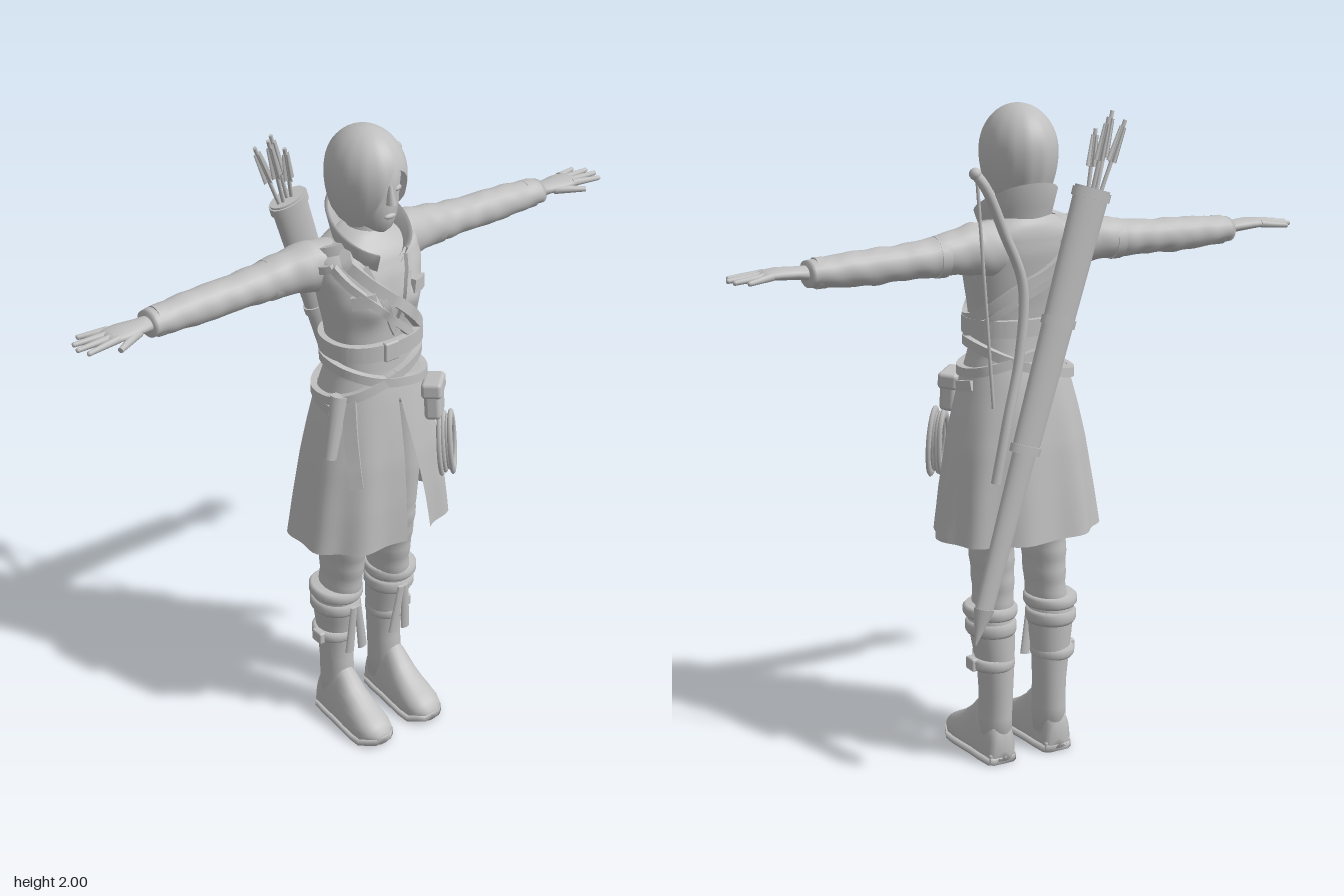
import * as THREE from 'three';
import { toCreasedNormals } from 'three/addons/utils/BufferGeometryUtils.js';
import { RoundedBoxGeometry } from 'three/addons/geometries/RoundedBoxGeometry.js';

const V = (x, y, z) => new THREE.Vector3(x, y, z);
const clay = new THREE.MeshStandardMaterial({ color: 0xbfbfbf, side: THREE.DoubleSide });
clay.name = 'light grey';

function add(parent, name, geo) {
  const m = new THREE.Mesh(geo, clay);
  m.name = name;
  parent.add(m);
  return m;
}

// Linear look-up in a table sorted by its first column
function sample(table, t) {
  let i = 0;
  while (i < table.length - 2 && t > table[i + 1][0]) i++;
  const a = table[i], b = table[i + 1];
  const k = THREE.MathUtils.clamp((t - a[0]) / (b[0] - a[0]), 0, 1);
  return a.map((v, j) => v + (b[j] - v) * k);
}

// Smooth skin over a list of rings
function loft(rings, closed = true, caps = true) {
  const n = rings[0].length, pos = [], idx = [];
  rings.forEach(r => r.forEach(p => pos.push(p.x, p.y, p.z)));
  for (let i = 0; i < rings.length - 1; i++) {
    for (let j = 0; j < (closed ? n : n - 1); j++) {
      const a = i * n + j, b = i * n + (j + 1) % n, c = b + n, d = a + n;
      idx.push(a, b, c, a, c, d);
    }
  }
  if (closed && caps) [0, rings.length - 1].forEach((r, end) => {
    const c = rings[r].reduce((s, p) => s.add(p), V(0, 0, 0)).divideScalar(n), at = pos.length / 3;
    pos.push(c.x, c.y, c.z);
    for (let j = 0; j < n; j++) {
      const a = r * n + j, b = r * n + (j + 1) % n;
      idx.push(at, ...(end ? [a, b] : [b, a]));
    }
  });
  const g = new THREE.BufferGeometry();
  g.setAttribute('position', new THREE.Float32BufferAttribute(pos, 3));
  g.setIndex(idx);
  g.computeVertexNormals();
  return g;
}

const around = (n, f) => Array.from({ length: n }, (_, j) => f(j / n * Math.PI * 2));

// Rows of a table resampled along a smooth curve, ascending in the first column
function smoothRows(table, steps) {
  const out = [], t0 = table[0][0], t1 = table[table.length - 1][0];
  for (let i = 0; i <= steps; i++) out.push(sample(table, t0 + (t1 - t0) * i / steps));
  return out;
}

// Upright limb: rows are [y, centreX, centreZ, radiusX, radiusZ]
const upright = (rows, n = 24) => loft(rows.map(([y, cx, cz, rx, rz]) =>
  around(n, a => V(cx + rx * Math.sin(a), y, cz + rz * Math.cos(a)))));

// Tapered rod between two points, optionally flattened
function rod(parent, name, a, b, r0, r1, flat = 1, sides = 12) {
  const d = b.clone().sub(a);
  const g = new THREE.CylinderGeometry(r1, r0, d.length(), sides).scale(1, 1, flat);
  const m = add(parent, name, g);
  m.position.copy(a).add(b).multiplyScalar(0.5);
  m.quaternion.setFromUnitVectors(V(0, 1, 0), d.normalize());
  return m;
}

// Coat silhouette: [y, half width, front z, back z]
const body = [
  [0.72, 0.255, 0.19, -0.167], [0.85, 0.237, 0.186, -0.157], [1.0, 0.212, 0.176, -0.143],
  [1.1, 0.19, 0.162, -0.127], [1.2, 0.164, 0.146, -0.108], [1.28, 0.14, 0.13, -0.087],
  [1.35, 0.137, 0.125, -0.08], [1.42, 0.145, 0.125, -0.088], [1.5, 0.16, 0.128, -0.102],
  [1.58, 0.172, 0.115, -0.113], [1.635, 0.165, 0.09, -0.11], [1.67, 0.11, 0.06, -0.1], [1.7, 0.05, 0.03, -0.07],
];
const spow = (v, e) => Math.sign(v) * Math.abs(v) ** e;
function bodyPoint(a, y, off = 0) {
  const [, rx, zf, zb] = sample(body, y);
  const x = (rx + off) * spow(Math.sin(a), 0.88), c = Math.cos(a);
  let z = (zf + zb) / 2 + ((zf - zb) / 2 + off) * spow(c, 0.88);
  if (c > 0) z += 0.022 * Math.exp(-(((Math.abs(x) - 0.07) / 0.045) ** 2) - ((y - 1.5) / 0.05) ** 2);
  const fold = y < 1.2 ? 0.02 * (1.2 - y) * Math.sin(a * 9) : 0;
  return V(x * (1 + fold * 3), y, z + fold * c);
}

// Flat strap lying on the coat through [angle, y] points
function strap(parent, name, path, width, thick = 0.012, steps = 60) {
  const curve = new THREE.CatmullRomCurve3(path.map(([a, y]) => V(a, y, 0)));
  const at = (t, off) => { const p = curve.getPoint(t); return bodyPoint(p.x, p.y, off); };
  const rings = [];
  for (let i = 0; i <= steps; i++) {
    const t = i / steps, p = at(t, 0.004);
    const n = at(t, 0.02).sub(p).normalize();
    const tan = at(Math.min(1, t + 0.01), 0).sub(at(Math.max(0, t - 0.01), 0)).normalize();
    const s = tan.cross(n).normalize().multiplyScalar(width / 2);
    n.multiplyScalar(thick);
    rings.push([p.clone().add(n).sub(s), p.clone().add(n).add(s), p.clone().sub(n).add(s), p.clone().sub(n).sub(s)]);
  }
  return add(parent, name, toCreasedNormals(loft(rings), 0.7));
}

function makeHead(g) {
  const face = [[1.71, 0.018, 0.09, 0.03], [1.725, 0.04, 0.106, 0.0], [1.76, 0.063, 0.117, -0.05], [1.8, 0.077, 0.117, -0.09],
    [1.83, 0.083, 0.115, -0.1], [1.87, 0.086, 0.119, -0.1], [1.92, 0.078, 0.1, -0.1], [1.97, 0.04, 0.05, -0.05]];
  add(g, 'face', upright(face.map(([y, rx, f, b]) => [y, -0.005, (f + b) / 2, rx, (f - b) / 2])));
  add(g, 'neck', upright([[1.58, 0, -0.02, 0.065, 0.06], [1.67, 0, -0.015, 0.05, 0.052], [1.78, 0, -0.005, 0.047, 0.05]]));
  rod(g, 'nose', V(-0.005, 1.805, 0.12), V(-0.005, 1.86, 0.114), 0.014, 0.006, 1.3);
  const lips = add(g, 'lips', new THREE.SphereGeometry(1, 12, 8).scale(0.02, 0.008, 0.009));
  lips.position.set(-0.005, 1.768, 0.116);
  for (const s of [-1, 1]) {
    const eye = add(g, 'eye', new THREE.SphereGeometry(1, 12, 8).scale(0.016, 0.008, 0.008));
    eye.position.set(-0.005 + s * 0.036, 1.84, 0.104);
    eye.rotation.y = s * 0.4;
  }
  // Bobbed hair with a side-swept fringe: hem height by angle
  const hem = [[-3.15, 1.785], [-1.9, 1.75], [-1.2, 1.725], [-0.8, 1.735], [-0.5, 1.79], [-0.15, 1.875], [0.1, 1.915],
    [0.5, 1.885], [0.85, 1.81], [1.2, 1.755], [1.9, 1.755], [3.15, 1.785]];
  const rings = [];
  for (let i = 18; i >= 0; i--) rings.push(around(56, u => {
    const a = u - Math.PI, low = sample(hem, a)[1];
    const y = 2 - (2 - low) * (1 - Math.cos(i / 18 * Math.PI / 2));
    const d = y - 1.865;
    const f = d > 0 ? Math.sqrt(Math.max(0, 1 - (d / 0.135) ** 2)) : 1 - 0.22 * (d / 0.12) ** 2;
    const lock = 1 + 0.012 * Math.sin(a * 14) * i / 18;
    return V(-0.005 + 0.109 * f * lock * Math.sin(a), y, 0.004 + 0.131 * f * lock * Math.cos(a));
  }));
  add(g, 'hair', loft(rings, true, false));
}

function makeCoat(g) {
  const upper = [];
  for (let i = 0; i <= 32; i++) upper.push(around(56, a => bodyPoint(a, 1.18 + 0.52 * i / 32)));
  add(g, 'coatBody', loft(upper));
  // Skirt with the front slit widening downwards
  const skirt = [];
  for (let i = 0; i <= 20; i++) {
    const y = 0.72 + 0.5 * i / 20, start = 0.03 + 0.36 * (1 - i / 20);
    skirt.push(Array.from({ length: 73 }, (_, j) => bodyPoint(start + (Math.PI * 2 - start + 0.02) * j / 72, y, 0.003)));
  }
  add(g, 'coatSkirt', loft(skirt, false));
  // Tall flared collar, open in front, with an inner and an outer face
  const collar = [];
  for (const [t, o] of [[0, 0.006], [0.5, 0.006], [1, 0.006], [1, -0.006], [0.5, -0.006], [0, -0.006]])
    collar.push(Array.from({ length: 41 }, (_, j) => {
      const a = 0.42 + (Math.PI * 2 - 0.84) * j / 40, c = Math.cos(a);
      return V((0.088 + 0.026 * t + o) * Math.sin(a), 1.62 - 0.03 * c + t * (0.1 - 0.035 * c), 0.012 + (0.09 + 0.034 * t + o) * c);
    }));
  add(g, 'collar', loft(collar, false));
  for (const s of [-1, 1]) {
    strap(g, 'lapelEdge', [[s * 0.4, 1.62], [s * 0.2, 1.52], [0.04, 1.4]], 0.02, 0.006, 24);
    strap(g, 'chestPocketFlap', [[s * 0.35, 1.535], [s * 0.8, 1.525]], 0.04, 0.008, 16);
    strap(g, 'hipPocketFlap', [[s * 1.35, 1.175], [s * 1.85, 1.19]], 0.03, 0.008, 16);
  }
}

function makeArm() {
  const g = new THREE.Group();
  g.name = 'arm';
  const rows = [[0.08, 1.585, -0.025, 0.085, 0.075], [0.17, 1.6, -0.045, 0.076, 0.07], [0.25, 1.597, -0.056, 0.063, 0.062],
    [0.32, 1.59, -0.06, 0.056, 0.058], [0.42, 1.586, -0.062, 0.05, 0.053], [0.5, 1.583, -0.063, 0.052, 0.052],
    [0.6, 1.583, -0.062, 0.047, 0.05], [0.7, 1.582, -0.06, 0.037, 0.046]];
  const sleeve = smoothRows(rows, 48).map(([x, cy, cz, ry, rz]) => around(24, a => {
    const w = 1 + 0.035 * Math.sin(x * 75 + 2 * Math.sin(a)) * Math.sin(a * 2 + x * 9);
    return V(x, cy + ry * w * Math.cos(a), cz + rz * w * Math.sin(a));
  }));
  add(g, 'sleeve', loft(sleeve));
  for (const [x, r] of [[0.29, 0.06], [0.66, 0.044]]) {
    const band = add(g, 'armBand', new THREE.CylinderGeometry(r, r, 0.03, 24).rotateZ(Math.PI / 2));
    band.position.set(x, 1.59 - (x > 0.5 ? 0.008 : 0), -0.06);
  }
  const palm = [[0.68, 1.584, -0.057, 0.022, 0.028], [0.73, 1.587, -0.053, 0.018, 0.034], [0.78, 1.59, -0.05, 0.017, 0.043],
    [0.82, 1.59, -0.052, 0.013, 0.042], [0.835, 1.589, -0.053, 0.006, 0.038]];
  add(g, 'palm', loft(palm.map(([x, cy, cz, ry, rz]) => around(16, a => V(x, cy + ry * Math.cos(a), cz + rz * Math.sin(a))))));
  for (const [x, z, z0] of [[0.885, -0.108, -0.083], [0.915, -0.078, -0.063], [0.922, -0.046, -0.042], [0.908, -0.012, -0.022]]) {
    rod(g, 'finger', V(0.81, 1.59, z0), V(x, 1.583, z), 0.0115, 0.007);
    add(g, 'fingertip', new THREE.SphereGeometry(0.0075, 8, 6)).position.set(x, 1.583, z);
  }
  rod(g, 'thumb', V(0.745, 1.584, -0.03), V(0.83, 1.578, 0.016), 0.015, 0.008);
  return g;
}

function makeLeg() {
  const g = new THREE.Group();
  g.name = 'leg';
  const trouser = [[0.47, 0.095, -0.012, 0.058, 0.076], [0.55, 0.09, -0.007, 0.058, 0.081], [0.7, 0.09, 0.005, 0.064, 0.093],
    [0.9, 0.09, 0.01, 0.078, 0.1], [1.16, 0.08, 0.01, 0.085, 0.1]];
  add(g, 'trouserLeg', upright(smoothRows(trouser, 40).map(([y, cx, cz, rx, rz]) => {
    const w = 1 + (y < 0.75 ? 0.02 * Math.sin(y * 90) : 0);
    return [y, cx, cz, rx * w, rz * w];
  })));
  const shaft = [[0.06, 0.095, -0.03, 0.05, 0.056], [0.14, 0.095, -0.026, 0.05, 0.061], [0.22, 0.094, -0.031, 0.051, 0.058],
    [0.3, 0.096, -0.033, 0.056, 0.06], [0.38, 0.1, -0.026, 0.065, 0.07], [0.45, 0.105, -0.02, 0.069, 0.077], [0.5, 0.105, -0.016, 0.07, 0.08]];
  add(g, 'bootShaft', upright(shaft));
  const cuff = (y, h, rx, rz, cz) => add(g, 'bootCuff', upright([[y - h, 0.104, cz, rx - 0.006, rz - 0.006],
    [y - h * 0.5, 0.105, cz, rx, rz], [y + h * 0.5, 0.105, cz, rx, rz], [y + h, 0.104, cz, rx - 0.008, rz - 0.008]]));
  cuff(0.485, 0.018, 0.081, 0.09, -0.016);
  cuff(0.435, 0.022, 0.077, 0.084, -0.02);
  cuff(0.32, 0.018, 0.068, 0.07, -0.03);
  for (const [x0, x1] of [[0.085, 0.06], [0.1, 0.11]])
    rod(g, 'hangingStrap', V(x1, 0.28, 0.06), V(x0, 0.45, 0.07), 0.017, 0.013, 0.5, 8);
  add(g, 'bootBuckle', new RoundedBoxGeometry(0.022, 0.04, 0.045, 2, 0.006)).position.set(0.17, 0.32, -0.02);
  // Foot, heel to toe: [z, half width, instep height]
  const foot = [[-0.088, 0.03, 0.09], [-0.075, 0.045, 0.13], [-0.02, 0.051, 0.19], [0.03, 0.053, 0.19], [0.08, 0.058, 0.14],
    [0.13, 0.062, 0.105], [0.17, 0.06, 0.085], [0.2, 0.048, 0.068], [0.218, 0.025, 0.045]];
  add(g, 'foot', loft(foot.map(([z, w, h]) => around(28, a => {
    const y = Math.sin(a);
    return V(0.098 + w * spow(Math.cos(a), 0.8), y > 0 ? 0.035 + (h - 0.035) * y : 0.035 + 0.027 * spow(y, 0.5), z);
  }))));
  add(g, 'sole', loft(foot.map(([z, w]) => [[1, 0], [1, 0.022], [-1, 0.022], [-1, 0]].map(([k, y]) =>
    V(0.098 + k * (w + 0.004), y + (z > 0.18 ? 0.012 : 0), z)))));
  add(g, 'heel', new RoundedBoxGeometry(0.092, 0.035, 0.085, 2, 0.008)).position.set(0.098, 0.0175, -0.04);
  return g;
}

function makeGear(g) {
  // Belts and slung straps
  const loop = [[-0.95, 1.67], [-0.5, 1.6], [-0.1, 1.53], [0.35, 1.45], [0.9, 1.385], [1.8, 1.39], [3.1, 1.5], [4.2, 1.62], [5.33, 1.67]];
  strap(g, 'chestStrap', loop, 0.032, 0.014, 100);
  strap(g, 'bowStrap', loop.map(([a, y]) => [a - 0.12, y - 0.045]), 0.022, 0.012, 100);
  const ring = (f) => around(13, a => [a / (Math.PI * 2) * 13 / 12 * Math.PI * 2, f(a)]).map(([a]) => [a, f(a)]);
  strap(g, 'waistBelt', ring(() => 1.36), 0.05, 0.018, 100);
  strap(g, 'lowerBelt', ring(a => 1.265 - 0.045 * Math.sin(a + 0.3)), 0.028, 0.014, 100);
  strap(g, 'crossBelt', ring(a => 1.255 + 0.055 * Math.sin(a + 0.3)), 0.028, 0.014, 100);
  strap(g, 'hangingBeltEnd', [[-0.95, 1.23], [-0.8, 1.08], [-0.68, 0.95]], 0.04, 0.012, 24);
  add(g, 'beltBuckle', new RoundedBoxGeometry(0.05, 0.06, 0.02, 2, 0.006)).position.set(-0.02, 1.36, 0.143);
  // Pouch and rope coil on the left hip
  const pouch = new THREE.Group();
  pouch.name = 'pouch';
  add(pouch, 'pouchBody', new RoundedBoxGeometry(0.095, 0.1, 0.05, 3, 0.014)).position.y = -0.01;
  add(pouch, 'pouchFlap', new RoundedBoxGeometry(0.105, 0.05, 0.062, 3, 0.012)).position.y = 0.035;
  pouch.position.copy(bodyPoint(0.8, 1.145, 0.022));
  pouch.rotation.set(-0.1, 0.75, 0);
  g.add(pouch);
  const coil = new THREE.Group();
  coil.name = 'ropeCoil';
  for (let i = 0; i < 4; i++) {
    const m = add(coil, 'ropeTurn', new THREE.TorusGeometry(0.042 - 0.004 * (i % 3), 0.008, 8, 36).scale(1, 2.25, 1));
    m.position.set(0, 0, (i - 1.5) * 0.011);
    m.rotation.z = (i - 1.5) * 0.05;
  }
  coil.position.copy(bodyPoint(0.85, 0.98, 0.026));
  coil.rotation.set(-0.1, 0.75, 0);
  g.add(coil);
  // Small sheath on the right hip
  const a = bodyPoint(-1.15, 1.23, 0.014), b = bodyPoint(-1.15, 1.04, 0.014);
  rod(g, 'hipSheath', b, a, 0.02, 0.03, 0.8);
  // Quiver slung diagonally across the back
  const top = V(-0.155, 1.765, -0.163), low = V(0.225, 0.55, -0.193);
  const on = t => top.clone().lerp(low, t);
  rod(g, 'quiver', on(0.62), on(0), 0.044, 0.058, 0.58, 28);
  rod(g, 'quiverLower', on(1), on(0.62), 0.03, 0.038, 0.65, 24);
  rod(g, 'quiverTip', V(0.252, 0.455, -0.195), on(0.99), 0.003, 0.034, 0.7, 20);
  for (const [t, r] of [[0.005, 0.063], [0.3, 0.056], [0.6, 0.05]])
    rod(g, 'quiverBand', on(t + 0.02), on(t), r, r, 0.62, 28);
  // Arrows with crossed fletching
  for (const [x, y, z] of [[-0.27, 1.95, -0.15], [-0.245, 1.975, -0.12], [-0.205, 1.965, -0.165], [-0.18, 1.93, -0.135]]) {
    const tip = V(x, y, z), base = V(-0.15 + (x + 0.22) * 0.4, 1.72, -0.163), k = t => base.clone().lerp(tip, t);
    rod(g, 'arrowShaft', base, tip, 0.006, 0.006, 1, 8);
    rod(g, 'fletching', k(0.5), k(0.92), 0.018, 0.012, 0.12, 8);
    rod(g, 'fletching', k(0.5), k(0.92), 0.003, 0.002, 6, 8);
  }
  // Bow behind the left shoulder, and its string
  const bow = [V(0.212, 1.83, -0.135), V(0.185, 1.79, -0.145), V(0.125, 1.66, -0.14), V(0.06, 1.5, -0.135), V(0.075, 1.3, -0.145),
    V(0.13, 1.1, -0.165), V(0.17, 0.93, -0.172)];
  add(g, 'bow', new THREE.TubeGeometry(new THREE.CatmullRomCurve3(bow), 60, 0.015, 10));
  add(g, 'bowTip', new THREE.SphereGeometry(0.018, 12, 8)).position.copy(bow[0]);
  rod(g, 'bowString', V(0.165, 1.15, -0.15), V(0.207, 1.82, -0.135), 0.005, 0.005, 1, 6);
}

export function createModel() {
  const g = new THREE.Group();
  g.name = 'archer';
  makeHead(g);
  makeCoat(g);
  for (const s of [1, -1]) {
    for (const limb of [makeArm(), makeLeg()]) {
      limb.name = (s > 0 ? 'left ' : 'right ') + limb.name;
      limb.scale.x = s;
      g.add(limb);
    }
  }
  makeGear(g);
  return g;
}
